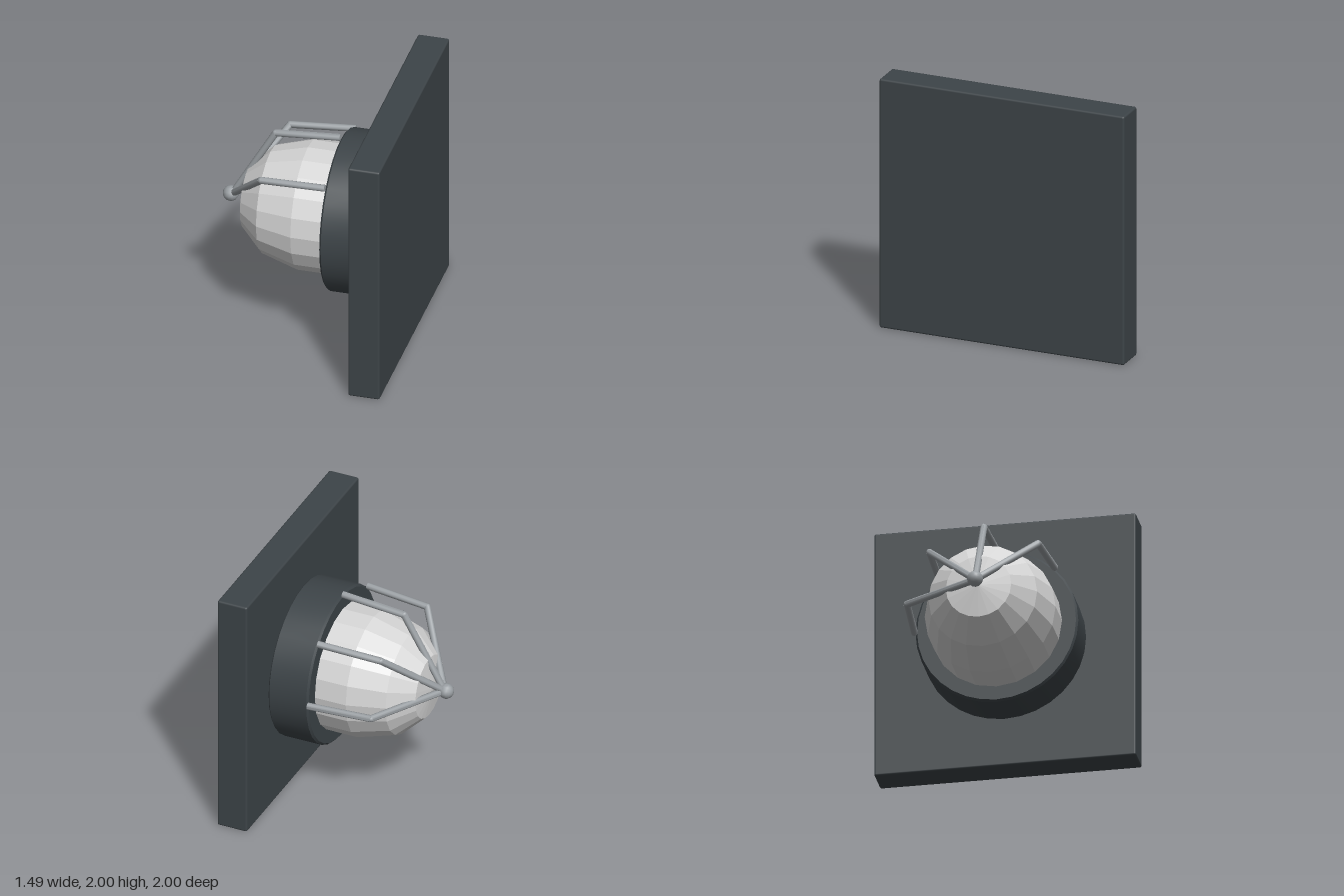
import * as THREE from 'three';
import { toCreasedNormals } from 'three/addons/utils/BufferGeometryUtils.js';
import { RoundedBoxGeometry } from 'three/addons/geometries/RoundedBoxGeometry.js';

const material = (name, color, flatShading = false) => {
  const m = new THREE.MeshStandardMaterial({ color, flatShading });
  m.name = name;
  return m;
};

export function createModel() {
  const darkMetal = material('dark metal', 0x3d4448);
  const glass = material('frosted glass', 0xd6d6d6, true);
  const steel = material('steel', 0x9a9fa3);

  const model = new THREE.Group();
  model.name = 'wallLamp';
  const add = (parent, name, geometry, mat) => {
    const mesh = new THREE.Mesh(geometry, mat);
    mesh.name = name;
    parent.add(mesh);
    return mesh;
  };
  const lathe = (profile, sides) =>
    new THREE.LatheGeometry(profile.map(([r, y]) => new THREE.Vector2(r, y)), sides);

  // Square wall plate
  add(model, 'wallPlate', new RoundedBoxGeometry(0.245, 2, 2, 2, 0.015), darkMetal)
    .position.set(0.6175, 1, 0);

  // Lamp parts turn about local y, which points away from the plate (-x)
  const lamp = new THREE.Group();
  lamp.name = 'lamp';
  lamp.rotation.z = Math.PI / 2;
  lamp.position.y = 1;
  model.add(lamp);

  // Base collar with bevelled edges
  const collar = lathe([[0, -0.5], [0.607, -0.5], [0.622, -0.485], [0.622, -0.18], [0.607, -0.165], [0, -0.165]], 32);
  add(lamp, 'collar', toCreasedNormals(collar, 0.5), darkMetal);

  // Faceted dome
  add(lamp, 'dome', lathe([[0.5, -0.2], [0.5, 0.09], [0.415, 0.38], [0.25, 0.55], [0, 0.585]], 20), glass);

  // Cage bars: each has a straight part, a bend and a part running to the tip
  const radius = 0.027;
  const up = new THREE.Vector3(0, 1, 0);
  const rod = (parent, name, a, b) => {
    const dir = b.clone().sub(a);
    const mesh = add(parent, name,
      toCreasedNormals(new THREE.CylinderGeometry(radius, radius, dir.length(), 10), 0.9), steel);
    mesh.position.copy(a).add(b).multiplyScalar(0.5);
    mesh.quaternion.setFromUnitVectors(up, dir.normalize());
  };
  for (const degrees of [-45, 0, 45, 90]) {
    const bar = new THREE.Group();
    bar.name = 'cageBar';
    bar.rotation.y = THREE.MathUtils.degToRad(degrees);
    lamp.add(bar);
    const foot = new THREE.Vector3(0.628, -0.165, 0);
    const bend = new THREE.Vector3(0.586, 0.34, 0);
    const tip = new THREE.Vector3(0.01, 0.67, 0);
    rod(bar, 'barSide', foot, bend);
    rod(bar, 'barEnd', bend, tip);
    add(bar, 'barBend', new THREE.SphereGeometry(radius, 10, 8), steel).position.copy(bend);
  }

  // Ball where the bars meet
  add(lamp, 'cageTip', new THREE.SphereGeometry(0.061, 12, 8), steel).position.y = 0.688;

  return model;
}
